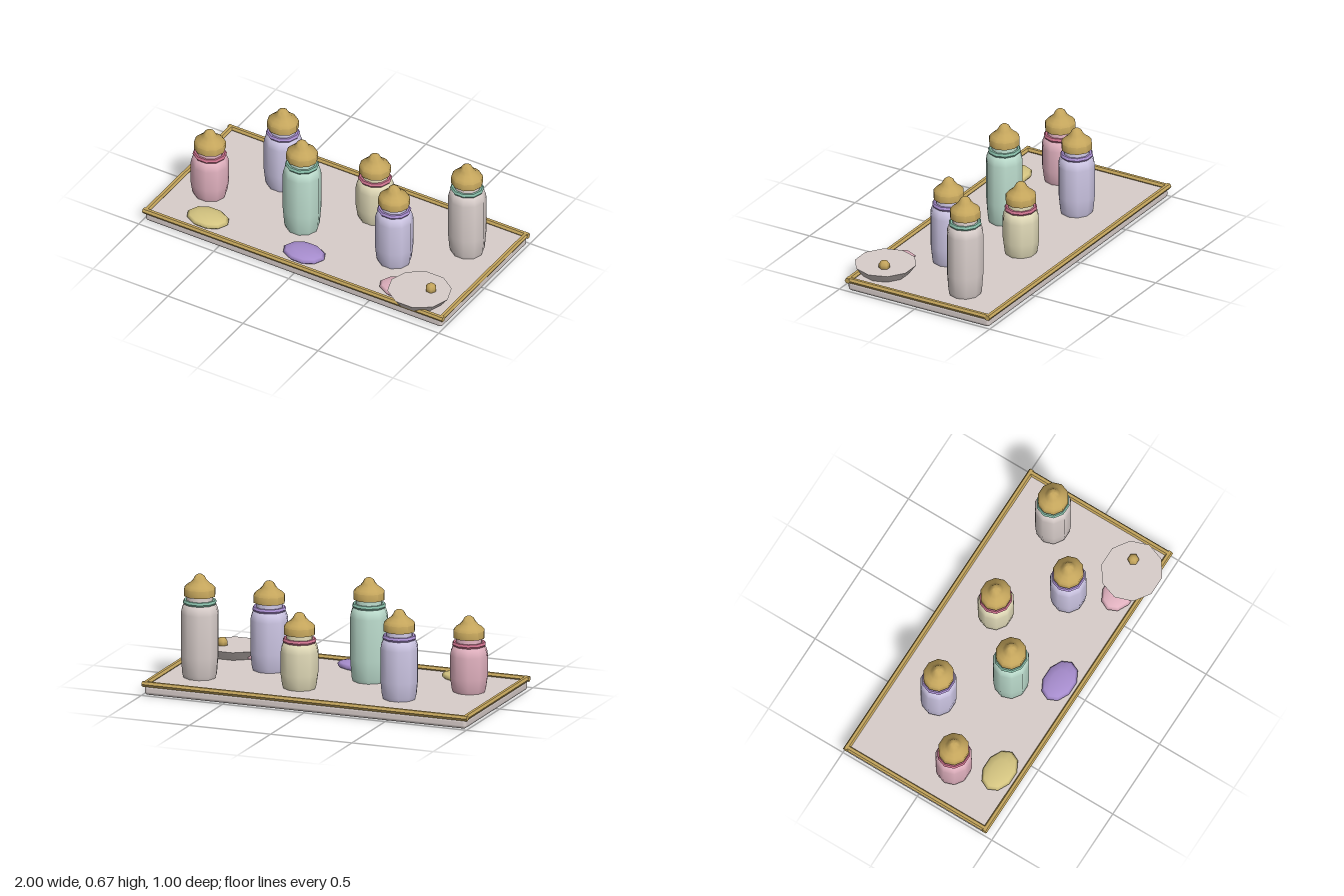
import * as THREE from 'three';
import { toCreasedNormals } from 'three/addons/utils/BufferGeometryUtils.js';
import { RoundedBoxGeometry } from 'three/addons/geometries/RoundedBoxGeometry.js';

const SIDES = 10;
const DEPTH = 0.945; // round parts are slightly narrower front to back

function paint(name, color) {
  const m = new THREE.MeshStandardMaterial({ color });
  m.name = name;
  return m;
}

// Ten-sided turned part with a corner on the x axis; points are [radius, height]
function turned(points) {
  const pts = points.map(([r, y]) => new THREE.Vector2(r, y));
  const g = new THREE.LatheGeometry(pts, SIDES, Math.PI / 2);
  g.scale(1, 1, DEPTH);
  return toCreasedNormals(g, 0.75);
}

export function createModel() {
  const model = new THREE.Group();
  model.name = 'trayWithJars';

  const cream = paint('cream', 0xd9cecb);
  const gold = paint('gold', 0xc4a55c);
  const lavender = paint('lavender', 0xcdc6e4);
  const mint = paint('mint', 0xbcdccd);
  const pink = paint('pink', 0xe2b2c0);
  const butter = paint('butter', 0xe2dbb9);
  const purple = paint('purple', 0xa78dce);
  const teal = paint('teal', 0x84b8a4);
  const rose = paint('rose', 0xc86f8a);
  const yellow = paint('yellow', 0xd5c581);

  function add(parent, name, geometry, material, x = 0, y = 0, z = 0) {
    const mesh = new THREE.Mesh(geometry, material);
    mesh.name = name;
    mesh.position.set(x, y, z);
    parent.add(mesh);
    return mesh;
  }

  // Tray slab
  const trayZ = -0.0175;
  add(model, 'traySlab', new RoundedBoxGeometry(1.98, 0.058, 0.94, 2, 0.02), cream, 0, 0.029, trayZ);

  // Six-sided rim bars
  const rim = new THREE.Group();
  rim.name = 'trayRim';
  model.add(rim);
  for (const s of [-1, 1]) {
    const long = new THREE.CylinderGeometry(0.017, 0.017, 2, 6).toNonIndexed();
    long.rotateZ(Math.PI / 2);
    add(rim, s > 0 ? 'frontRim' : 'backRim', toCreasedNormals(long, 0.5), gold, 0, 0.065, trayZ + s * 0.4655);
    const short = new THREE.CylinderGeometry(0.017, 0.017, 0.95, 6).toNonIndexed();
    short.rotateY(Math.PI / 2).rotateX(Math.PI / 2);
    add(rim, s > 0 ? 'leftRim' : 'rightRim', toCreasedNormals(short, 0.5), gold, s * 0.983, 0.065, trayZ);
  }

  // Collar and stopper, shared by all jars and measured from the collar height
  const collarGeometry = turned([
    [0.072, 0], [0.08, -0.013], [0.092, -0.013], [0.1, 0], [0.092, 0.013], [0.08, 0.013], [0.072, 0],
  ]);
  const stopperGeometry = turned([
    [0, 0.038], [0.093, 0.038], [0.093, 0.08], [0.078, 0.097], [0.055, 0.113],
    [0.04, 0.13], [0.028, 0.152], [0.014, 0.162], [0, 0.165],
  ]);

  // Jars: x, z, collar height, body colour, collar colour
  const jars = [
    [-0.77, 0.1, 0.338, pink, rose],
    [-0.462, -0.195, 0.419, lavender, purple],
    [-0.155, 0.1, 0.501, mint, teal],
    [0.152, -0.195, 0.338, butter, rose],
    [0.459, 0.1, 0.419, lavender, purple],
    [0.766, -0.195, 0.501, cream, teal],
  ];
  for (const [x, z, h, body, accent] of jars) {
    const jar = new THREE.Group();
    jar.name = 'jar';
    jar.position.set(x, 0, z);
    model.add(jar);
    const bodyGeometry = turned([
      [0, 0.05], [0.092, 0.05], [0.103, 0.08], [0.112, 0.05 + h * 0.28], [0.112, h - 0.065],
      [0.109, h - 0.045], [0.098, h - 0.015], [0.08, h], [0.077, h + 0.012], [0.077, h + 0.04],
    ]);
    add(jar, 'jarBody', bodyGeometry, body);
    add(jar, 'jarCollar', collarGeometry, accent, 0, h);
    add(jar, 'jarStopper', stopperGeometry, gold, 0, h);
  }

  // Oval sweets along the front
  const oval = new THREE.SphereGeometry(0.133, SIDES, 6);
  oval.scale(1, 0.23, 0.7);
  [[-0.642, yellow], [0, purple], [0.642, pink]].forEach(([x, m]) => {
    add(model, 'sweet', oval, m, x, 0.075, 0.33);
  });

  // Loose lid with its knob, overhanging the front corner
  const lid = new THREE.Group();
  lid.name = 'looseLid';
  lid.position.set(0.77, 0, 0.332);
  model.add(lid);
  add(lid, 'lidDisc', turned([[0, 0.058], [0.143, 0.058], [0.187, 0.114], [0, 0.114]]), cream);
  const knob = new THREE.SphereGeometry(0.034, 6, 5);
  add(lid, 'lidKnob', knob, gold, 0.06, 0.128, -0.028);

  return model;
}
